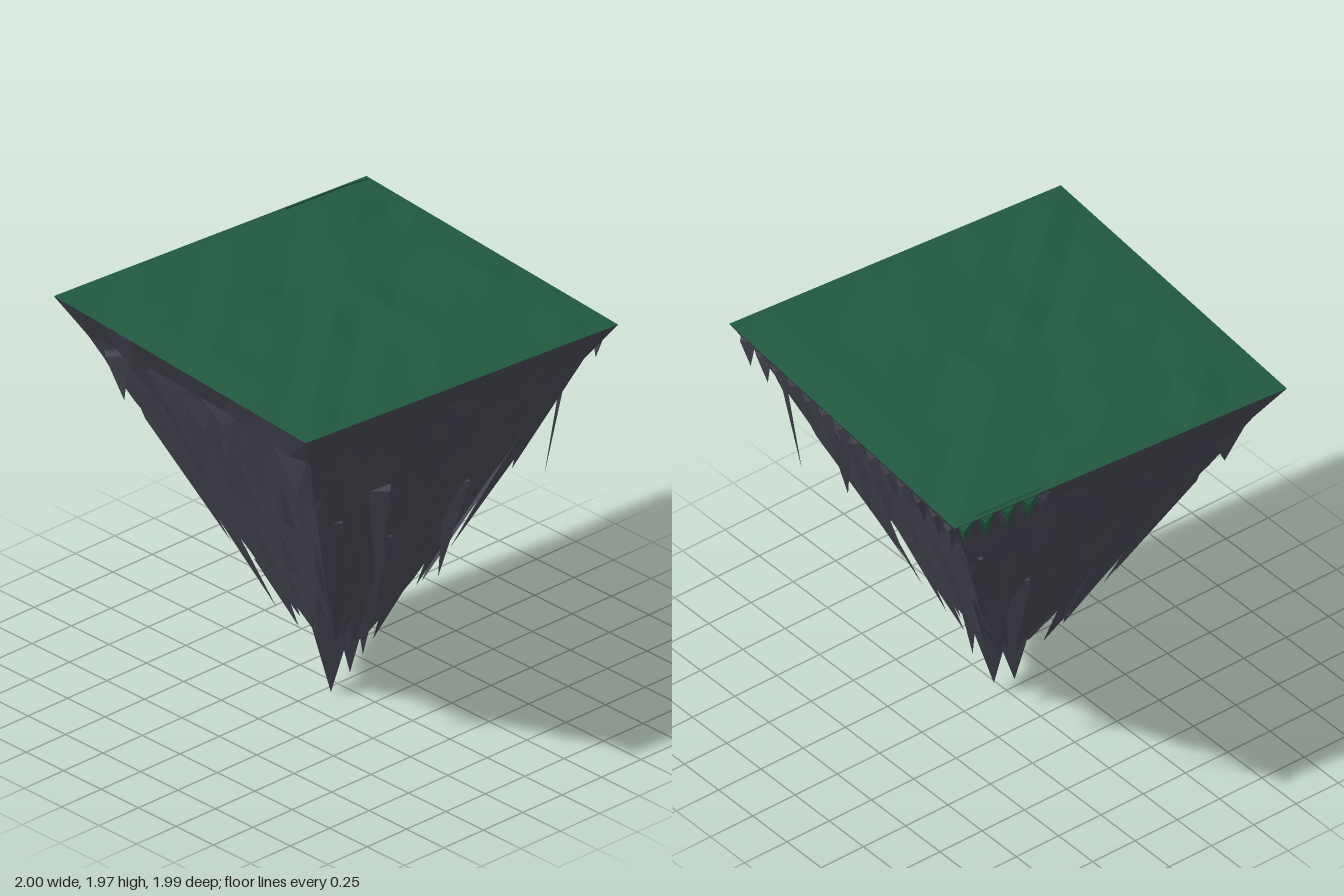
import * as THREE from 'three';
import { mergeGeometries } from 'three/addons/utils/BufferGeometryUtils.js';

const RIM = 1.945;
// Island corners (x, z): front right, back right, back left, front left
const CORNERS = [[0.84, 0.99], [1, -0.86], [-0.85, -1], [-1, 0.84]];

let seed = 7;
const rand = () => (seed = (seed * 16807) % 2147483647) / 2147483647;
const range = (a, b) => a + (b - a) * rand();

// Point on a tapering square: t runs 0..4 round the sides, s scales the square
function point(t, y, s = y / RIM) {
  const i = Math.floor(t + 4) % 4, f = t - Math.floor(t);
  const a = CORNERS[i], b = CORNERS[(i + 1) % 4], lean = 1 - y / RIM;
  const [x, z] = a.map((v, k) => (v + (b[k] - v) * f) * s);
  return [x - 0.02 * lean, y, z + 0.04 * lean];
}

function fromTriangles(tris) {
  const g = new THREE.BufferGeometry();
  g.setAttribute('position', new THREE.Float32BufferAttribute(tris.flat(2), 3));
  g.computeVertexNormals();
  return g;
}

// Creased rock body lofted through square rings that shrink downwards
function coreGeometry() {
  const levels = [[RIM, 1], [1.74, 0.88], [1.45, 0.72], [1.0, 0.475], [0.6, 0.26], [0.3, 0.09]];
  const n = 40;
  const fold = Array.from({ length: n }, () => range(-1, 1));
  const rings = levels.map(([y, s], j) => Array.from({ length: n }, (_, i) => {
    const rough = j === 0 || i % 10 === 0 ? 1 : 1 + 0.012 * j * fold[i];
    return point(i * 4 / n, y + (j === 0 ? 0 : range(-0.03, 0.03)), s * rough);
  }));
  const tris = [], last = rings[rings.length - 1];
  for (let j = 0; j < rings.length - 1; j++) for (let i = 0; i < n; i++) {
    const k = (i + 1) % n, a = rings[j][i], b = rings[j + 1][i], c = rings[j + 1][k], d = rings[j][k];
    tris.push([a, b, d], [b, c, d]);
  }
  for (let i = 0; i < n; i++) tris.push([last[i], [-0.02, 0.22, 0.04], last[(i + 1) % n]]);
  return fromTriangles(tris);
}

// Pointed slab of rock clinging to a side, with a raised ridge
function shard(t, top, tip, width, out = 1.02, tipOut = 1.05, shift = 0) {
  const s = top / RIM, w = Math.min(width / (1.85 * s) / 2, 0.3);
  const A = point(t - w, top, s * 0.97), B = point(t + w, top, s * 0.97);
  const my = top + (tip - top) * 0.3;
  const M = point(t + shift * 0.3, my, my / RIM * out);
  const T = point(t + shift, tip, tip / RIM * tipOut);
  return [[A, T, M], [M, T, B], [A, M, B], [A, B, T]];
}

// Free-hanging spike: an inverted cone sheared so its point meets the tip
function spike(tip, base, r, sides = 4) {
  const h = base[1] - tip[1];
  const g = new THREE.ConeGeometry(r, h, sides).rotateX(Math.PI);
  const p = g.attributes.position;
  for (let i = 0; i < p.count; i++) {
    const f = p.getY(i) / h + 0.5;
    p.setXYZ(i, p.getX(i) + tip[0] + (base[0] - tip[0]) * f, tip[1] + f * h,
      p.getZ(i) + tip[2] + (base[2] - tip[2]) * f);
  }
  g.computeVertexNormals();
  return g;
}

// Low rolling grass sheet over the four corners
function grassGeometry() {
  const n = 10, g = new THREE.PlaneGeometry(1, 1, n, n).rotateX(-Math.PI / 2);
  const p = g.attributes.position;
  for (let i = 0; i < p.count; i++) {
    const u = p.getX(i) + 0.5, v = p.getZ(i) + 0.5;
    const mix = k => (1 - v) * ((1 - u) * CORNERS[2][k] + u * CORNERS[1][k])
      + v * ((1 - u) * CORNERS[3][k] + u * CORNERS[0][k]);
    const x = mix(0), z = mix(1);
    const edge = Math.min(u, 1 - u, v, 1 - v) < 0.01;
    const bump = 0.022 * Math.exp(-((x - 0.18) ** 2 + (z - 0.42) ** 2) * 14);
    p.setXYZ(i, x, edge ? RIM : 1.955 + range(-0.012, 0.012) + bump, z);
  }
  g.computeVertexNormals();
  return g;
}

export function createModel() {
  const model = new THREE.Group();
  const rock = new THREE.MeshStandardMaterial({ color: 0x444450, flatShading: true, side: THREE.DoubleSide });
  const grass = new THREE.MeshStandardMaterial({ color: 0x205840, flatShading: true, side: THREE.DoubleSide });
  const add = (name, geometry, material) => {
    const mesh = new THREE.Mesh(geometry, material);
    mesh.name = name;
    model.add(mesh);
  };

  add('grassTop', grassGeometry(), grass);
  add('rockCore', coreGeometry(), rock);

  // Tiers of long slabs: top, tip range, count per side, width, tip overhang
  const slabs = [];
  const tiers = [[1.85, 1.42, 1.55, 4, 0.36, 1.01], [1.75, 1.0, 1.3, 5, 0.36, 1.02],
    [1.5, 0.65, 0.9, 5, 0.28, 1.06], [1.15, 0.42, 0.6, 4, 0.24, 1.12], [0.75, 0.28, 0.4, 2, 0.2, 1.1]];
  for (const [top, lo, hi, count, width, tipOut] of tiers)
    for (let side = 0; side < 4; side++) for (let i = 0; i < count; i++) {
      const t = side + (i + 0.5 + range(-0.25, 0.25)) / count;
      slabs.push(...shard(t, top + range(-0.08, 0.04), range(lo, hi), width * range(0.8, 1.2),
        range(0.98, 1.01), tipOut * range(0.97, 1.05), range(-0.04, 0.04)));
    }
  // One long slab down each corner edge
  for (let corner = 0; corner < 4; corner++)
    slabs.push(...shard(corner, 1.6, range(0.72, 0.9), 0.22, 0.99, 1.02));
  add('rockSlabs', fromTriangles(slabs), rock);

  // Ragged fringe along the right rim and round the back corner
  const fringe = [], turf = [];
  for (let i = 0; i < 14; i++)
    fringe.push(...shard((i + 0.5) / 14, RIM, range(1.64, 1.75), 0.18, 1.02, range(1.03, 1.06)));
  for (let i = 0; i < 5; i++)
    fringe.push(...shard(1.03 + i * 0.06, RIM, range(1.62, 1.78), 0.14, 1.03, 1.05));
  for (let i = 0; i < 4; i++)
    turf.push(...shard(1.03 + i * 0.065, 1.955, range(1.8, 1.86), 0.14, 1.035, 1.055));
  add('rimFringe', fromTriangles(fringe), rock);
  add('hangingTurf', fromTriangles(turf), grass);

  // Lower points and thin slivers: tip, base, radius
  const spikes = [
    [[-0.08, 0, 0.04], [-0.07, 0.6, 0.04], 0.2], [[0.05, 0.05, 0.03], [0.07, 0.6, 0.02], 0.17],
    [[-0.02, 0.23, 0.19], [-0.02, 0.8, 0.22], 0.13], [[-0.25, 0.42, 0.1], [-0.28, 1, 0.12], 0.12],
    [[0.24, 0.36, -0.05], [0.28, 0.95, -0.05], 0.1], [[0.18, 0.4, -0.25], [0.2, 1, -0.34], 0.1],
    [[-0.1, 0.42, 0.3], [-0.12, 1, 0.38], 0.11], [[-0.16, 0.45, -0.22], [-0.2, 1, -0.36], 0.1],
    [[-0.43, 0.68, 0.4], [-0.52, 1.25, 0.5], 0.08], [[-0.3, 0.76, 0.58], [-0.34, 1.4, 0.64], 0.07],
    [[0.2, 0.66, 0.46], [0.25, 1.2, 0.54], 0.08], [[0.3, 0.5, -0.3], [0.4, 1.1, -0.42], 0.08],
    [[0.57, 0.96, -0.57], [0.8, 1.64, -0.8], 0.015], [[0.62, 1.15, 0.73], [0.68, 1.65, 0.79], 0.015],
  ];
  add('rockSpikes', mergeGeometries(spikes.map(s => spike(...s))), rock);

  // Hanging teeth halfway down the right side
  const teeth = [0.33, 0.17, 0.02, -0.17].map(z =>
    spike([0.67, 1.27, z], [0.72, 1.72, z], 0.08));
  add('rockTeeth', mergeGeometries(teeth), rock);
  return model;
}
